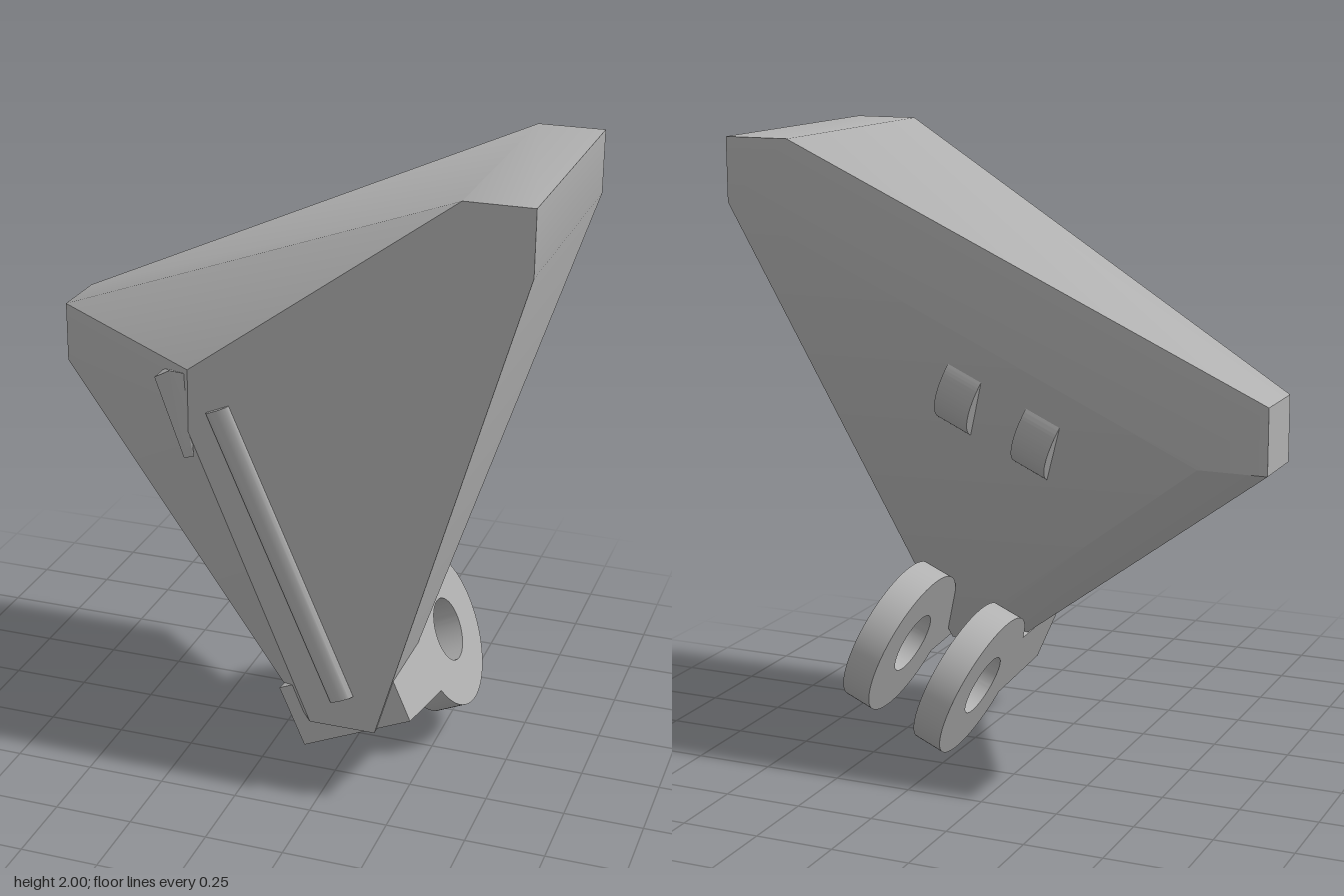
import * as THREE from 'three';
import { toCreasedNormals } from 'three/addons/utils/BufferGeometryUtils.js';
import { ConvexGeometry } from 'three/addons/geometries/ConvexGeometry.js';

const vec = (x, y, z) => new THREE.Vector3(x, y, z);

export function createModel() {
  const group = new THREE.Group();
  const grey = new THREE.MeshStandardMaterial({ color: 0xb0b0b0 });
  grey.name = 'grey';

  const add = (name, geometry, crease = 0.55) => {
    const mesh = new THREE.Mesh(toCreasedNormals(geometry, crease), grey);
    mesh.name = name;
    group.add(mesh);
    return mesh;
  };
  const hull = (points) => new ConvexGeometry(points.map((p) => vec(...p)));

  // Extrude a shape about its middle, then place it by a frame of three axes
  const placed = (shape, depth, X, Y, Z, origin) => {
    const g = new THREE.ExtrudeGeometry(shape, { depth, bevelEnabled: false, curveSegments: 40 });
    g.translate(0, 0, -depth / 2);
    return g.applyMatrix4(new THREE.Matrix4().makeBasis(X, Y, Z).setPosition(origin));
  };

  // Faceted shell, wide at the top and narrow at the foot
  add('shell', hull([
    [0.66, 2, 0.434], [0.87, 2, 0.434], [0.87, 1.8, 0.434],
    [0.66, 2, -0.434], [0.87, 2, -0.434], [0.87, 1.8, -0.434],
    [-0.87, 1.3, -0.434], [-0.87, 1.1, -0.434], [-0.66, 1.1, -0.434],
    [-0.87, 1.3, -0.23], [-0.87, 1.1, -0.23],
    [-0.17, 1.39, 0.415], [-0.17, 1.19, 0.415],
    [0.22, 0.27, 0.415], [0.43, 0.27, 0.415],
    [0.22, 0.27, 0.21], [0.43, 0.27, 0.21],
  ]));

  // Shallow rounded rib down the front
  const rib = new THREE.CylinderGeometry(0.04, 0.04, 0.99, 24);
  rib.scale(1, 1, 0.35).rotateZ(0.415).translate(0.125, 0.825, 0.42);
  add('frontRib', rib, 0.8);

  // Small tapered fin beside the front edge
  add('sideFin', hull([
    [-0.3, 1.33, 0.36], [-0.3, 1.33, 0.28], [-0.235, 1.372, 0.395],
    [-0.17, 1.37, 0.4], [-0.17, 1.19, 0.413],
    [-0.19, 1.1, 0.405], [-0.155, 1.11, 0.413],
  ]), 0.3);

  // Two rounded pads on the sloping back
  const along = vec(0.909, 0.416, 0).normalize();
  const out = vec(0.195, -0.426, -0.883).normalize();
  const up = along.clone().cross(out).normalize();
  out.copy(up).cross(along).normalize();
  const pad = new THREE.Shape();
  const r = 0.18, half = Math.asin(0.12 / r);
  pad.absarc(-r * Math.cos(half), 0, r, -half, half, false);
  pad.closePath();
  for (const s of [0.897, 1.178]) {
    const centre = vec(0.87, 1.8, -0.434).addScaledVector(along, -s).addScaledVector(up, -0.262);
    add('backPad', placed(pad, 0.12, out, up, along, centre));
  }

  // Hinge clevis: two ringed arms joined by a block
  const tilt = 0.417;
  const axis = vec(Math.cos(tilt), Math.sin(tilt), 0);
  const down = vec(Math.sin(tilt), -Math.cos(tilt), 0);
  const front = vec(0, 0, 1);
  const hinge = vec(0.342, 0.309, -0.11);
  const arm = new THREE.Shape();
  arm.moveTo(0.51, -0.14);
  arm.lineTo(0.51, 0.065);
  arm.lineTo(0.225, 0.11);
  arm.absarc(0, 0, 0.25, 0.4545, Math.PI * 2 - 0.4545, false);
  arm.closePath();
  const hole = new THREE.Path();
  hole.absarc(0, 0, 0.103, 0, Math.PI * 2, true);
  arm.holes.push(hole);
  for (const side of [-1, 1]) {
    const centre = hinge.clone().addScaledVector(axis, side * 0.137);
    add(side > 0 ? 'leftHingeArm' : 'rightHingeArm', placed(arm, 0.1, front, down, axis, centre));
  }
  const block = new THREE.Shape();
  block.moveTo(0.38, -0.14);
  block.lineTo(0.51, -0.14);
  block.lineTo(0.51, 0.065);
  block.lineTo(0.38, 0.085);
  block.closePath();
  add('hingeBlock', placed(block, 0.18, front, down, axis, hinge));

  return group;
}
